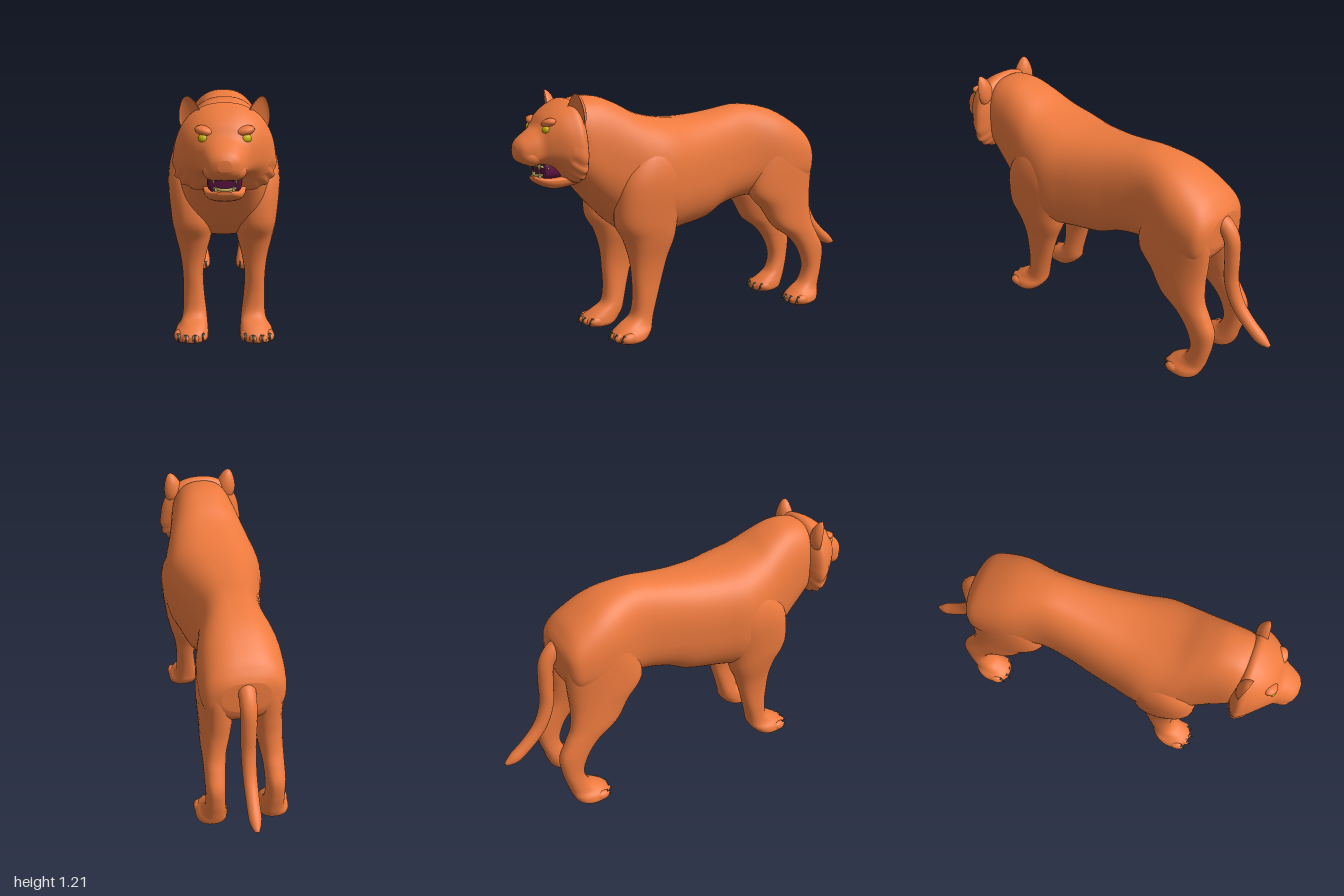
import * as THREE from 'three';

const mat = (color) => new THREE.MeshStandardMaterial({ color, roughness: 0.8 });
const FUR = mat(0xed7a3e), EYE = mat(0xc8b400), CLAW = mat(0x4a4f3c), MOUTH = mat(0x5a1040), TOOTH = mat(0xb8a85a);

// Smooth interpolation through a list of section arrays
function resample(rows, steps) {
  const out = [];
  for (let i = 0; i < rows.length - 1; i++) {
    const a = rows[Math.max(i - 1, 0)], b = rows[i], c = rows[i + 1], d = rows[Math.min(i + 2, rows.length - 1)];
    for (let s = 0; s < steps; s++) {
      const t = s / steps;
      out.push(b.map((_, k) => b[k] + 0.5 * t * (c[k] - a[k] + t * (2 * a[k] - 5 * b[k] + 4 * c[k] - d[k]
        + t * (3 * (b[k] - c[k]) + d[k] - a[k])))));
    }
  }
  out.push(rows[rows.length - 1]);
  return out;
}

// Closed skin over rings; point(section, angle) gives [x, y, z]
function loft(rows, point, sides = 40, steps = 5) {
  const rings = resample(rows, steps), pos = [], idx = [];
  for (const r of rings) for (let j = 0; j < sides; j++) pos.push(...point(r, (j / sides) * Math.PI * 2));
  for (let i = 0; i < rings.length - 1; i++) {
    for (let j = 0; j < sides; j++) {
      const a = i * sides + j, b = i * sides + (j + 1) % sides;
      idx.push(a, b, a + sides, b, b + sides, a + sides);
    }
  }
  for (const [start, flip] of [[0, false], [(rings.length - 1) * sides, true]]) {
    const c = [0, 0, 0], n = pos.length / 3;
    for (let j = 0; j < sides; j++) for (let k = 0; k < 3; k++) c[k] += pos[(start + j) * 3 + k] / sides;
    pos.push(...c);
    for (let j = 0; j < sides; j++) {
      const a = start + j, b = start + (j + 1) % sides;
      idx.push(...(flip ? [n, a, b] : [n, b, a]));
    }
  }
  // Turn the faces outward if the enclosed volume is negative
  const v = (i) => new THREE.Vector3().fromArray(pos, i * 3);
  let volume = 0;
  for (let i = 0; i < idx.length; i += 3) volume += v(idx[i]).dot(v(idx[i + 1]).cross(v(idx[i + 2])));
  if (volume < 0) idx.reverse();
  const g = new THREE.BufferGeometry();
  g.setAttribute('position', new THREE.Float32BufferAttribute(pos, 3));
  g.setIndex(idx);
  g.computeVertexNormals();
  return g;
}

const pw = (v, p) => Math.sign(v) * Math.abs(v) ** p;

// Upright ring: [z, top, bottom, halfWidth, height of widest point]
const upright = (p, pLow = p) => ([z, top, bot, hw, mid], a) => {
  const c = Math.cos(a), s = Math.sin(a), q = s > 0 ? p : pLow;
  return [hw * pw(c, q), mid + (s > 0 ? top - mid : mid - bot) * pw(s, q), z];
};

// Flat ring for legs: [y, back z, front z, inner x, outer x]
const flat = (side) => ([y, z0, z1, x0, x1], a) => [
  side * ((x0 + x1) / 2 + (x1 - x0) / 2 * pw(Math.cos(a), 0.85)), y,
  (z0 + z1) / 2 + (z1 - z0) / 2 * pw(Math.sin(a), 0.85)];

function add(parent, name, geometry, material, x = 0, y = 0, z = 0) {
  const m = new THREE.Mesh(geometry, material);
  m.name = name;
  m.position.set(x, y, z);
  parent.add(m);
  return m;
}
const ball = (rx, ry, rz) => new THREE.SphereGeometry(1, 28, 20).scale(rx, ry, rz);

const TORSO = [
  [-0.685, 0.90, 0.74, 0.11, 0.82], [-0.66, 0.94, 0.68, 0.175, 0.80], [-0.6, 1.0, 0.63, 0.2, 0.8],
  [-0.45, 1.08, 0.61, 0.2, 0.82], [-0.28, 1.11, 0.62, 0.165, 0.84], [-0.12, 1.09, 0.59, 0.178, 0.82],
  [0, 1.075, 0.535, 0.2, 0.8], [0.15, 1.068, 0.51, 0.23, 0.79], [0.28, 1.08, 0.49, 0.256, 0.79],
  [0.4, 1.11, 0.5, 0.242, 0.8], [0.5, 1.16, 0.56, 0.212, 0.84], [0.6, 1.195, 0.655, 0.185, 0.9],
  [0.7, 1.19, 0.765, 0.165, 0.95], [0.75, 1.16, 0.8, 0.14, 0.96]];
const FRONT_LEG = [
  [0.97, 0.26, 0.4, 0.1, 0.2], [0.9, 0.22, 0.47, 0.08, 0.245], [0.78, 0.2, 0.54, 0.07, 0.266],
  [0.6, 0.225, 0.56, 0.055, 0.252], [0.5, 0.24, 0.51, 0.06, 0.235], [0.4, 0.28, 0.48, 0.085, 0.212],
  [0.3, 0.31, 0.47, 0.1, 0.2], [0.2, 0.34, 0.465, 0.095, 0.199], [0.12, 0.362, 0.48, 0.085, 0.2],
  [0.08, 0.37, 0.54, 0.08, 0.21], [0.05, 0.385, 0.58, 0.076, 0.232], [0.02, 0.41, 0.585, 0.076, 0.238],
  [0.005, 0.43, 0.565, 0.09, 0.225]];
const HIND_LEG = [
  [0.97, -0.58, -0.42, 0.06, 0.16], [0.9, -0.645, -0.36, 0.05, 0.192], [0.8, -0.68, -0.31, 0.04, 0.202],
  [0.65, -0.675, -0.28, 0.035, 0.202], [0.55, -0.67, -0.36, 0.05, 0.2], [0.45, -0.685, -0.43, 0.075, 0.2],
  [0.38, -0.72, -0.53, 0.09, 0.197], [0.3, -0.758, -0.6, 0.098, 0.197], [0.2, -0.75, -0.638, 0.1, 0.195],
  [0.12, -0.73, -0.615, 0.092, 0.2], [0.08, -0.72, -0.56, 0.085, 0.21], [0.05, -0.71, -0.52, 0.078, 0.232],
  [0.02, -0.695, -0.515, 0.078, 0.238], [0.005, -0.66, -0.535, 0.09, 0.225]];
const HEAD = [
  [0.69, 1.1, 0.88, 0.13, 0.97], [0.72, 1.17, 0.815, 0.195, 0.94], [0.75, 1.19, 0.798, 0.222, 0.93],
  [0.79, 1.175, 0.825, 0.205, 0.95], [0.83, 1.15, 0.87, 0.175, 0.98], [0.87, 1.115, 0.89, 0.137, 0.98],
  [0.9, 1.07, 0.893, 0.107, 0.97], [0.94, 1.042, 0.89, 0.09, 0.955], [0.98, 1.012, 0.91, 0.065, 0.955],
  [0.998, 0.985, 0.94, 0.028, 0.96]];
const JAW = [
  [0.68, 0.86, 0.79, 0.1, 0.83], [0.8, 0.835, 0.772, 0.092, 0.82], [0.86, 0.832, 0.782, 0.078, 0.818],
  [0.9, 0.836, 0.805, 0.055, 0.824], [0.915, 0.836, 0.822, 0.03, 0.83]];
const THROAT = [[0.78, 0.915, 0.82, 0.074, 0.87], [0.865, 0.915, 0.82, 0.074, 0.87], [0.882, 0.9, 0.83, 0.06, 0.87]];

function addLeg(parent, name, rows, side, toeZ) {
  const leg = new THREE.Group();
  leg.name = name;
  parent.add(leg);
  add(leg, 'limb', loft(rows, flat(side), 32), FUR);
  // Four toes, each with a claw
  [0.1, 0.138, 0.182, 0.218].forEach((x, i) => {
    const z = toeZ - (i === 0 || i === 3 ? 0.022 : 0);
    add(leg, 'toe', ball(0.023, 0.026, 0.042), FUR, side * x, 0.034, z - 0.035);
    const claw = add(leg, 'claw', new THREE.ConeGeometry(0.01, 0.045, 10).scale(1, 1, 1.4), CLAW, side * x, 0.032, z + 0.005);
    claw.rotation.x = 2.3;
  });
}

// Cupped ear narrowing to a tip
function earGeometry() {
  const g = ball(1, 1, 1), p = g.attributes.position;
  for (let i = 0; i < p.count; i++) {
    const x = p.getX(i), y = p.getY(i), z = p.getZ(i);
    p.setXYZ(i, x * 0.052 * (1 - 0.3 * y), y * 0.085, (z > 0 ? -0.3 * z : z) * 0.045 + y * 0.01);
  }
  g.computeVertexNormals();
  return g;
}

export function createModel() {
  const model = new THREE.Group();
  model.name = 'bigCat';

  add(model, 'torso', loft(TORSO, upright(0.8), 56), FUR);
  for (const [side, label] of [[1, 'left'], [-1, 'right']]) {
    addLeg(model, label + 'FrontLeg', FRONT_LEG, side, 0.588);
    addLeg(model, label + 'HindLeg', HIND_LEG, side, -0.518);
  }

  // Tail: round rings set square to a hanging curve
  const path = new THREE.CatmullRomCurve3([[0.87, -0.62], [0.85, -0.68], [0.79, -0.725], [0.68, -0.738], [0.55, -0.745],
    [0.43, -0.79], [0.34, -0.87], [0.28, -0.95], [0.262, -0.99]].map(([y, z]) => new THREE.Vector3(0, y, z)));
  const tailRows = [];
  for (let i = 0; i <= 24; i++) tailRows.push([i / 24, i < 23 ? 0.042 - 0.012 * i / 24 : i < 24 ? 0.024 : 0.01]);
  add(model, 'tail', loft(tailRows, ([t, r], a) => {
    const u = Math.min(t, 1), p = path.getPointAt(u), d = path.getTangentAt(u);
    return [r * Math.cos(a), p.y + r * Math.sin(a) * d.z, p.z - r * Math.sin(a) * d.y];
  }, 20, 2), FUR);

  const head = new THREE.Group();
  head.name = 'head';
  model.add(head);
  // Skull and muzzle, with a ragged cheek ruff along the lower back edge
  const skullRing = upright(0.88, 0.72);
  add(head, 'skull', loft(HEAD, (r, a) => {
    const [x, y, z] = skullRing(r, a);
    const ruff = r[0] < 0.8 && Math.sin(a) < 0.1 ? 1 + 0.025 * Math.cos(a * 18) : 1;
    return [x * ruff, r[4] + (y - r[4]) * ruff, z];
  }, 80), FUR);
  add(head, 'lowerJaw', loft(JAW, upright(0.8)), FUR);
  add(head, 'mouth', loft(THROAT, upright(0.6)), MOUTH);

  // Gum lines
  for (const [name, y, w, dip, z] of [['upperGum', 0.897, 0.07, -0.02, 0.925], ['lowerGum', 0.835, 0.062, 0.012, 0.905]]) {
    const curve = new THREE.QuadraticBezierCurve3(new THREE.Vector3(-w, y + dip, 0.86),
      new THREE.Vector3(0, y - dip / 4, z + 0.03), new THREE.Vector3(w, y + dip, 0.86));
    add(head, name, new THREE.TubeGeometry(curve, 24, 0.007, 8), TOOTH);
  }

  for (const s of [1, -1]) {
    add(head, 'whiskerPad', ball(0.05, 0.042, 0.05), FUR, s * 0.043, 0.932, 0.93);
    add(head, 'brow', ball(0.045, 0.022, 0.035), FUR, s * 0.082, 1.085, 0.858).rotation.z = s * 0.25;
    add(head, 'eye', ball(0.025, 0.021, 0.02), EYE, s * 0.087, 1.055, 0.875).rotation.z = s * 0.2;
    const ear = add(head, 'ear', earGeometry(), FUR, s * 0.148, 1.135, 0.758);
    ear.rotation.set(0, s * 0.35, -s * 0.15);
    const fang = add(head, 'upperFang', new THREE.ConeGeometry(0.009, 0.045, 10), TOOTH, s * 0.048, 0.875, 0.9);
    fang.rotation.x = Math.PI;
    add(head, 'lowerFang', new THREE.ConeGeometry(0.008, 0.035, 10), TOOTH, s * 0.038, 0.848, 0.892);
  }
  return model;
}
